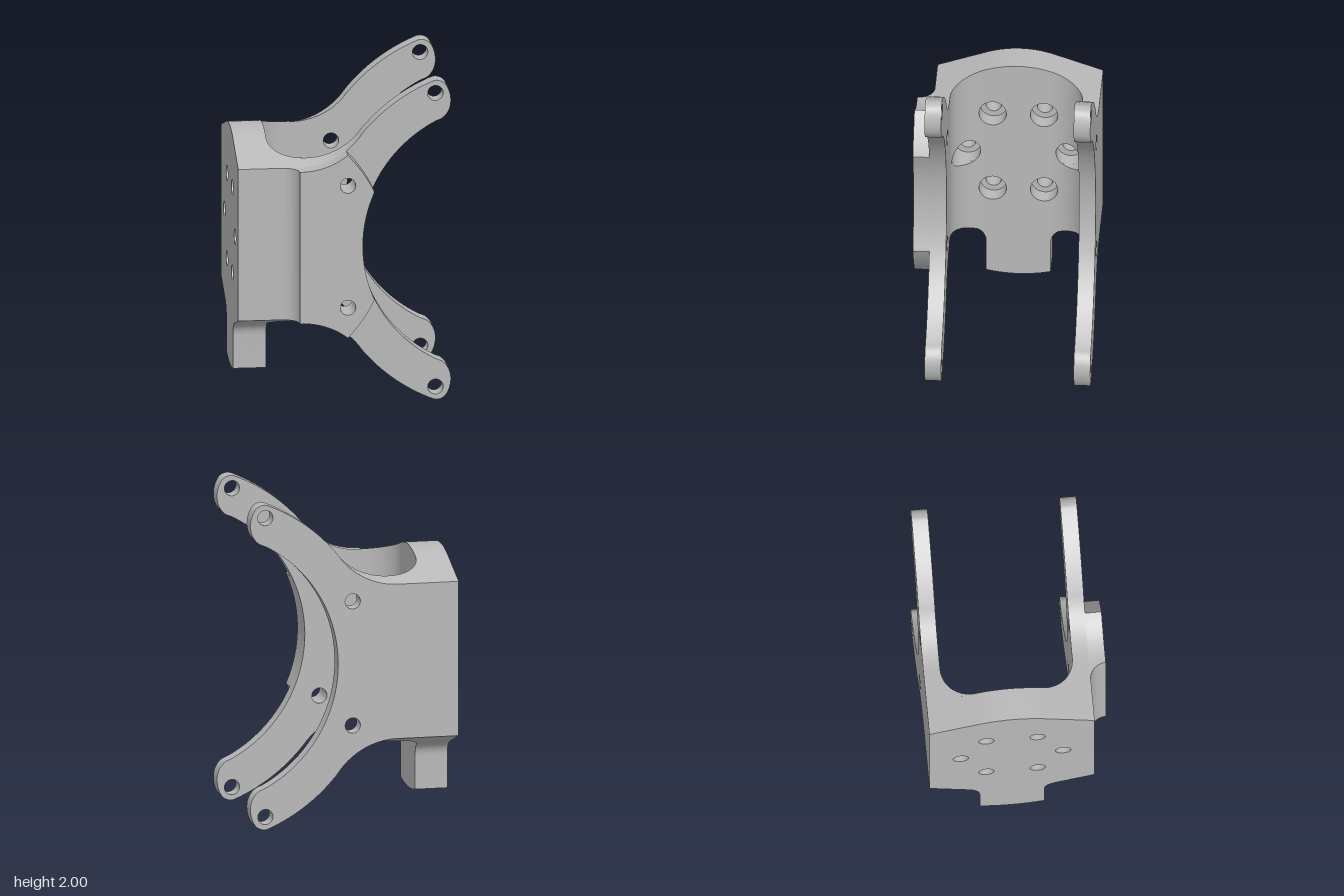
import * as THREE from 'three';
import { toCreasedNormals } from 'three/addons/utils/BufferGeometryUtils.js';

const V = (x, y) => new THREE.Vector2(x, y);
const BORE = 0.083, HOLE = 0.047, INNER_X = -0.445, OUTER_X = -0.645;

function arc(cx, cy, r, a0, a1, n = 24) {
  return Array.from({ length: n + 1 }, (_, i) => {
    const a = a0 + (a1 - a0) * i / n;
    return V(cx + r * Math.cos(a), cy + r * Math.sin(a));
  });
}
// closes an upper half outline with its reflection in y = 0
const mirrorY = pts => [...pts, ...pts.slice(0, -1).reverse().map(p => V(p.x, -p.y))];

function extrude(pts, holes, depth) {
  const shape = new THREE.Shape(pts);
  for (const [x, y, r] of holes) {
    shape.holes.push(new THREE.Path(arc(x, y, r, 0, -Math.PI * 2, 32).slice(0, -1)));
  }
  return new THREE.ExtrudeGeometry(shape, { depth, bevelEnabled: false });
}

// roof height at distance s from the middle plane, and inner corner fillet
const roof = s => s > 0.21 ? 0.65 - 0.35 * s : 0.613 - 0.833 * s * s;
const filletX = s => INNER_X + 0.2 - Math.sqrt(Math.max(0, 0.04 - Math.max(0, s - 0.2) ** 2));

// side plate with two curved arms; its inner top edge follows the roof slope
function plateGeometry() {
  const tip = new THREE.CatmullRomCurve3([[0.52, 0.99], [0.555, 1], [0.6, 0.985], [0.63, 0.94],
    [0.643, 0.87], [0.63, 0.81], [0.595, 0.765], [0.55, 0.744]]
    .map(p => new THREE.Vector3(p[0], p[1], 0))).getPoints(28).map(p => V(p.x, p.y));
  const half = [
    V(OUTER_X, 0.475),
    ...arc(-0.27, 0.9235, 0.4485, -Math.PI / 2, -0.6006),
    ...arc(0.94, 0, 1.075, 2.46, 1.975),
    ...tip.slice(1),
    ...arc(0.94, 0, 0.84, 2.054, Math.PI).slice(1),
  ];
  const holes = [1, -1].flatMap(k => [[0.01, 0.382 * k, HOLE], [0.55, 0.92 * k, HOLE]]);
  const g = extrude(mirrorY(half), holes, 0.1);
  const p = g.attributes.position;
  for (let i = 0; i < p.count; i++) {
    const x = p.getX(i), y = p.getY(i);
    if (p.getZ(i) < 0.05 && Math.abs(y) > 0.45 && x < 0.12) {
      p.setY(i, y + Math.sign(y) * 0.035 * Math.min(1, (0.12 - x) / 0.39));
    }
  }
  g.translate(0, 0, 0.4);
  return toCreasedNormals(g, 0.5);
}

// raised pad on the front plate
function padGeometry() {
  const cut = new THREE.QuadraticBezierCurve(V(0.01, 0.573), V(0.11, 0.465), V(0.17, 0.34));
  const half = [
    V(-0.28, 0.475),
    ...arc(-0.27, 0.9235, 0.4485, -Math.PI / 2, -0.8966, 14),
    ...cut.getPoints(8).slice(1),
    ...arc(0.94, 0, 0.84, 2.726, Math.PI).slice(1),
  ];
  const g = extrude(mirrorY(half), [[0.01, 0.382, HOLE], [0.01, -0.382, HOLE]], 0.1);
  g.translate(0, 0, 0.5);
  return toCreasedNormals(g, 0.5);
}

// concave blend between plate and pad
function coveGeometry() {
  const pts = [V(-0.28, -0.5), ...arc(-0.38, 0.6, 0.1, -Math.PI / 2, 0, 12).map(p => V(p.x, -p.y))];
  const g = extrude(pts, [], 0.95);
  g.rotateX(-Math.PI / 2).translate(0, -0.475, 0);
  return toCreasedNormals(g, 0.5);
}

// one layer of the end wall with its bottom tab and six holes
function wallGeometry(x0, x1, r) {
  const side = [];
  for (let i = 0; i <= 12; i++) side.push(V(0.21 * i / 12, roof(0.21 * i / 12)));
  side.push(V(0.4, roof(0.4)), V(0.4, -roof(0.4)));
  const corner = new THREE.CubicBezierCurve(V(0.265, -0.557), V(0.225, -0.571), V(0.195, -0.6), V(0.195, -0.65));
  side.push(...corner.getPoints(10));
  for (let i = 8; i >= 0; i--) {
    const s = 0.195 * i / 8;
    side.push(V(s, -0.88 + 0.022 * (s / 0.195) ** 2));
  }
  const pts = [...side, ...side.slice(1, -1).reverse().map(p => V(-p.x, p.y))];
  const holes = [[0.31, 0, r], [-0.31, 0, r]];
  for (const a of [1, -1]) for (const b of [1, -1]) holes.push([0.155 * a, 0.268 * b, r]);
  const g = extrude(pts, holes, x1 - x0);
  g.rotateY(Math.PI / 2).translate(x0, 0, 0);
  return toCreasedNormals(g, 0.5);
}

// strip between two edges given as functions of s
function strip(a, b) {
  const pos = [], index = [], n = 40;
  for (let i = 0; i <= n; i++) {
    const s = 0.2 + 0.2 * Math.sin(i / n * Math.PI / 2);
    pos.push(...a(s), ...b(s));
    if (i < n) index.push(2 * i, 2 * i + 2, 2 * i + 1, 2 * i + 1, 2 * i + 2, 2 * i + 3);
  }
  const g = new THREE.BufferGeometry();
  g.setAttribute('position', new THREE.Float32BufferAttribute(pos, 3));
  g.setIndex(index);
  g.computeVertexNormals();
  return g;
}

// quarter of the inner fillets: curved face around the bores, and sloping cap
function filletGeometries() {
  const chord = (s, c) => Math.sqrt(Math.max(0, BORE ** 2 - (s - c) ** 2));
  const at = y => s => [filletX(s), y(s), s];
  return [
    strip(at(s => 0.268 - chord(s, 0.155)), at(s => chord(s, 0.31))),
    strip(at(roof), at(s => 0.268 + chord(s, 0.155))),
    strip(s => [INNER_X, roof(s), s], at(roof)),
  ];
}

// bore wall where the counterbore cuts the fillet
function boreGeometry() {
  const g = new THREE.CylinderGeometry(BORE, BORE, 1, 40, 1, true);
  g.rotateZ(-Math.PI / 2);
  const p = g.attributes.position;
  for (let i = 0; i < p.count; i++) {
    const s = 0.31 + p.getZ(i);
    p.setXYZ(i, p.getX(i) > 0 ? filletX(s) : INNER_X, p.getY(i), s);
  }
  return g;
}

export function createModel() {
  const model = new THREE.Group();
  const bracket = new THREE.Group();
  bracket.name = 'bracket';
  bracket.position.set(0, 1, -0.05);
  model.add(bracket);
  const grey = new THREE.MeshStandardMaterial({ color: 0xb8b8b8, side: THREE.DoubleSide });
  grey.name = 'grey';
  const add = (name, geometry, sy = 1, sz = 1) => {
    const mesh = new THREE.Mesh(geometry, grey);
    mesh.name = name;
    mesh.scale.set(1, sy, sz);
    bracket.add(mesh);
  };

  add('endWallOuter', wallGeometry(OUTER_X, -0.545, HOLE));
  add('endWallInner', wallGeometry(-0.545, INNER_X, BORE));
  const plate = plateGeometry();
  add('frontPlate', plate);
  add('backPlate', plate, 1, -1);
  add('frontPad', padGeometry());
  add('padCove', coveGeometry());

  const fillets = filletGeometries(), bore = boreGeometry();
  for (const sz of [1, -1]) {
    add('counterbore', bore, 1, sz);
    for (const sy of [1, -1]) fillets.forEach(g => add('innerFillet', g, sy, sz));
  }
  return model;
}
